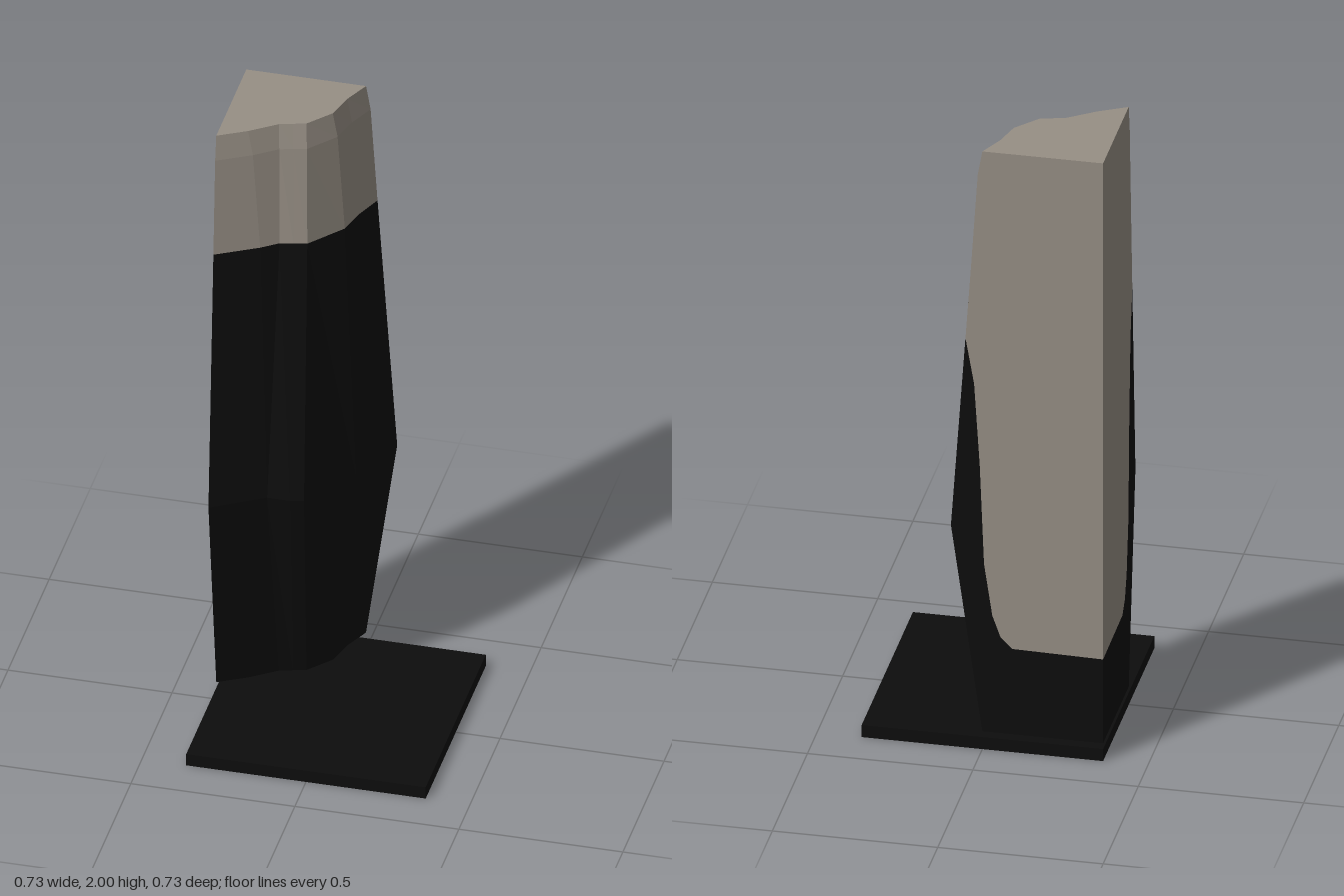
import * as THREE from 'three';

const C = -0.365; // the square corner of the tower, in both x and z

export function createModel() {
  const stone = new THREE.MeshStandardMaterial({ color: 0x978f85, side: THREE.DoubleSide });
  stone.name = 'warm grey';
  const black = new THREE.MeshStandardMaterial({ color: 0x0d0d0d, side: THREE.DoubleSide });
  black.name = 'black';

  const group = new THREE.Group();
  const add = (name, geometry, material) => {
    const mesh = new THREE.Mesh(geometry, material);
    mesh.name = name;
    group.add(mesh);
    return mesh;
  };

  // Outlines of the curved front as [x, z], from the back wall round to the side wall
  const end = [[0, C], [-0.037, -0.285], [-0.06, -0.2], [-0.122, -0.128], [-0.16, -0.117], [-0.2, -0.105], [-0.28, -0.047], [C, 0]];
  const band = [[0.035, C], [0, -0.28], [-0.022, -0.195], [-0.11, -0.09], [-0.15, -0.08], [-0.19, -0.072], [-0.24, -0.035], [C, 0.035]];
  const waist = [[0.095, C], [0.055, -0.28], [0.018, -0.175], [-0.1, -0.01], [-0.14, 0], [-0.21, 0], [-0.26, 0.03], [C, 0.095]];
  const shoulder = end.map((p, i) => p.map((v, k) => v + (band[i][k] - v) * 0.4));
  const ring = (outline, y) => outline.map(([x, z]) => [x, y, z]);

  const facets = (triangles) => {
    const g = new THREE.BufferGeometry();
    g.setAttribute('position', new THREE.Float32BufferAttribute(triangles.flat(2), 3));
    g.computeVertexNormals();
    return g;
  };
  const skin = (rings) => {
    const t = [];
    for (let r = 0; r < rings.length - 1; r++) {
      const lo = rings[r], hi = rings[r + 1];
      for (let i = 0; i < lo.length - 1; i++) {
        t.push([lo[i], hi[i], hi[i + 1]], [lo[i], hi[i + 1], lo[i + 1]]);
      }
    }
    return facets(t);
  };
  const cap = (points, y, up) => {
    const t = [];
    for (let i = 0; i < points.length - 1; i++) {
      const [a, b] = up ? [points[i + 1], points[i]] : [points[i], points[i + 1]];
      t.push([[C, y, C], a, b]);
    }
    return facets(t);
  };

  // Curved front: black below, grey crown above
  const bottom = ring(end, 0.06), top = ring(end, 2), seam = ring(band, 1.6);
  add('lowerFront', skin([bottom, ring(waist, 0.74), seam]), black);
  add('crownFront', skin([seam, ring(shoulder, 1.92), top]), stone);
  add('roof', cap(top, 2, true), stone);
  add('underside', cap(bottom, 0.06, false), black);

  // Two flat walls: a grey panel with a black border along its lower and outer edges
  const panelEdge = [[0.051, 1.37], [0.025, 1.22], [0.008, 0.95], [-0.005, 0.62], [-0.03, 0.45], [-0.055, 0.38], [-0.09, 0.345], [C, 0.34]];
  const polygon = (pts) => new THREE.ShapeGeometry(new THREE.Shape(pts.map(([x, y]) => new THREE.Vector2(x, y))));
  const panel = polygon([[C, 2], [0, 2], [0.014, 1.92], [0.035, 1.6], ...panelEdge]);
  const border = polygon([[C, 0.06], [0, 0.06], [0.095, 0.74], ...panelEdge]);
  for (const side of ['back', 'side']) {
    for (const [part, geometry, material] of [['Panel', panel, stone], ['Border', border, black]]) {
      const wall = add(side + part, geometry, material);
      if (side === 'back') {
        wall.position.z = C;
      } else {
        wall.rotation.y = -Math.PI / 2;
        wall.position.x = C;
      }
    }
  }

  // Ground slab, separated from the tower by a small gap
  add('baseSlab', new THREE.BoxGeometry(0.73, 0.04, 0.73), black).position.y = 0.02;

  return group;
}
